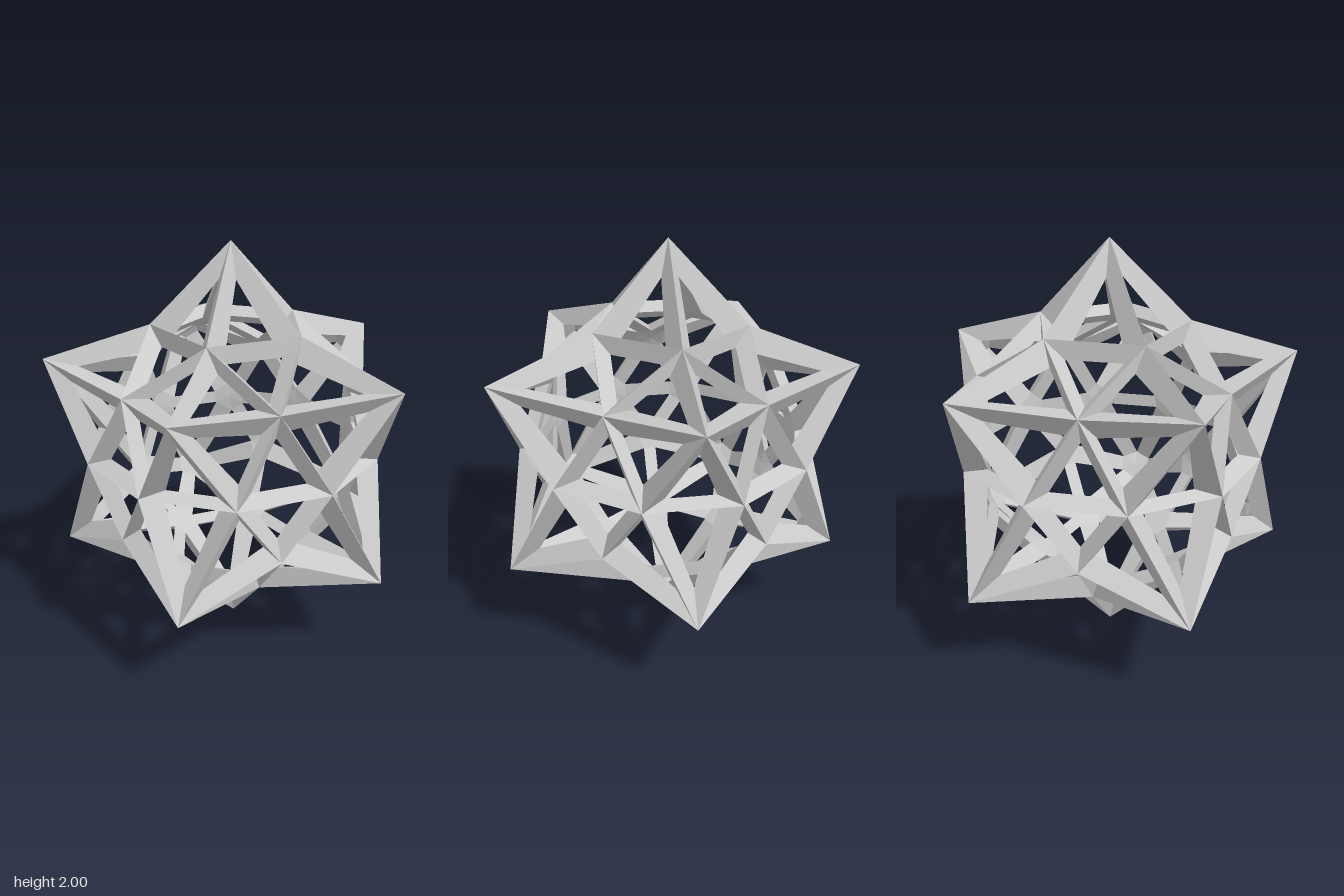
import * as THREE from 'three';

const DEPTH = 0.077, HALF_WIDTH = 0.04; // wedge section of every strut
const STRUT_SIDE = Math.hypot(DEPTH, HALF_WIDTH);

// Corners of the spiked polyhedron, around the origin, and its triangles
function buildSkeleton() {
  const points = [], triangles = [], spikes = new Set();
  const add = (r, y, deg) => {
    const a = THREE.MathUtils.degToRad(deg);
    return points.push(new THREE.Vector3(r * Math.cos(a), y, r * Math.sin(a))) - 1;
  };
  const ring = (n, r, y, start) => {
    const ids = Array.from({ length: n }, (_, k) => add(r, y, start + k * 360 / n));
    return k => ids[(k + n) % n];
  };
  const top = ring(5, 0.381, 0.613, 0), upper = ring(5, 0.615, 0.38, 36);
  const belt = ring(10, 0.724, 0, 18);
  const lower = ring(5, 0.655, -0.32, 36), bottom = ring(5, 0.381, -0.62, 36);

  // Triangle turned so that it faces away from the centre
  const face = (a, b, c) => {
    const [A, B, C] = [a, b, c].map(i => points[i]);
    const n = B.clone().sub(A).cross(C.clone().sub(A));
    triangles.push(n.dot(A) > 0 ? [a, b, c] : [a, c, b]);
  };
  const spike = (r, y, deg, loop) => {
    const tip = add(r, y, deg);
    spikes.add(tip);
    loop.forEach((id, i) => face(tip, id, loop[(i + 1) % loop.length]));
  };

  const five = [0, 1, 2, 3, 4];
  spike(0, 1, 0, five.map(top));
  spike(0, -1, 0, five.map(bottom));
  for (const k of five) {
    spike(0.894, 0.45, 72 * k, [top(k), upper(k), belt(2 * k), belt(2 * k - 1), upper(k - 1)]);
    spike(0.85, -0.52, 72 * k,
      [belt(2 * k - 1), belt(2 * k), lower(k), bottom(k), bottom(k - 1), lower(k - 1)]);
    face(top(k), top(k + 1), upper(k));
    face(upper(k), belt(2 * k), belt(2 * k + 1));
    face(lower(k), belt(2 * k), belt(2 * k + 1));
  }
  return { points, triangles, spikes };
}

// Direction of a strut's slanted side, falling inward from edge AB towards corner C
function sideDirection(A, B, C) {
  const e = B.clone().sub(A).normalize();
  const inward = A.clone().add(B).negate();
  inward.addScaledVector(e, -inward.dot(e)).normalize();
  const lateral = inward.clone().cross(e);
  if (lateral.dot(C.clone().sub(A)) < 0) lateral.negate();
  return { e, v: inward.multiplyScalar(DEPTH).addScaledVector(lateral, HALF_WIDTH) };
}

// Inner corner of a face opening, on the mitre where two strut sides meet
function innerCorner(A, B, C) {
  const s = sideDirection(A, B, C), t = sideDirection(A, C, B);
  const m = s.e.clone().cross(s.v).cross(t.e.clone().cross(t.v)).normalize();
  if (m.dot(s.v) + m.dot(t.v) < 0) m.negate();
  const reach = e => STRUT_SIDE / m.clone().addScaledVector(e, -m.dot(e)).length();
  return A.clone().addScaledVector(m, (reach(s.e) + reach(t.e)) / 2);
}

export function createModel() {
  const { points, triangles, spikes } = buildSkeleton();
  const inner = triangles.map(t => t.map((id, i) =>
    innerCorner(points[id], points[t[(i + 1) % 3]], points[t[(i + 2) % 3]])));

  // Middle of the inner cap behind each joint
  const caps = points.map((_, id) => {
    const sum = new THREE.Vector3();
    let n = 0;
    triangles.forEach((t, f) => {
      const i = t.indexOf(id);
      if (i >= 0) { sum.add(inner[f][i]); n++; }
    });
    return sum.divideScalar(n);
  });

  // Which triangle lies to the left of each directed edge
  const edges = new Map();
  triangles.forEach((t, f) => t.forEach((a, i) => {
    const b = t[(i + 1) % 3];
    edges.set(a + '-' + b, { a, b, A: inner[f][i], B: inner[f][(i + 1) % 3] });
  }));

  const struts = { spikeStruts: [], coreStruts: [] };
  for (const { a, b, A, B } of edges.values()) {
    const out = spikes.has(a) || spikes.has(b) ? struts.spikeStruts : struts.coreStruts;
    const tri = (...p) => p.forEach(q => out.push(q.x, q.y, q.z));
    const quad = (p, q, r, s) => { tri(p, q, r); tri(p, r, s); };
    const other = edges.get(b + '-' + a);
    quad(points[a], points[b], B, A);               // slanted outer side
    if (a < b) quad(A, B, other.A, other.B);        // inner back
    tri(caps[a], A, other.B);                       // back of the joint
  }

  const group = new THREE.Group();
  group.name = 'spikedLattice';
  const material = new THREE.MeshStandardMaterial({ color: 0xcccccc, flatShading: true });
  for (const [name, positions] of Object.entries(struts)) {
    const geometry = new THREE.BufferGeometry();
    geometry.setAttribute('position', new THREE.Float32BufferAttribute(positions, 3));
    geometry.computeVertexNormals();
    const mesh = new THREE.Mesh(geometry, material);
    mesh.name = name;
    mesh.position.set(-0.086, 1, 0);
    group.add(mesh);
  }
  return group;
}
